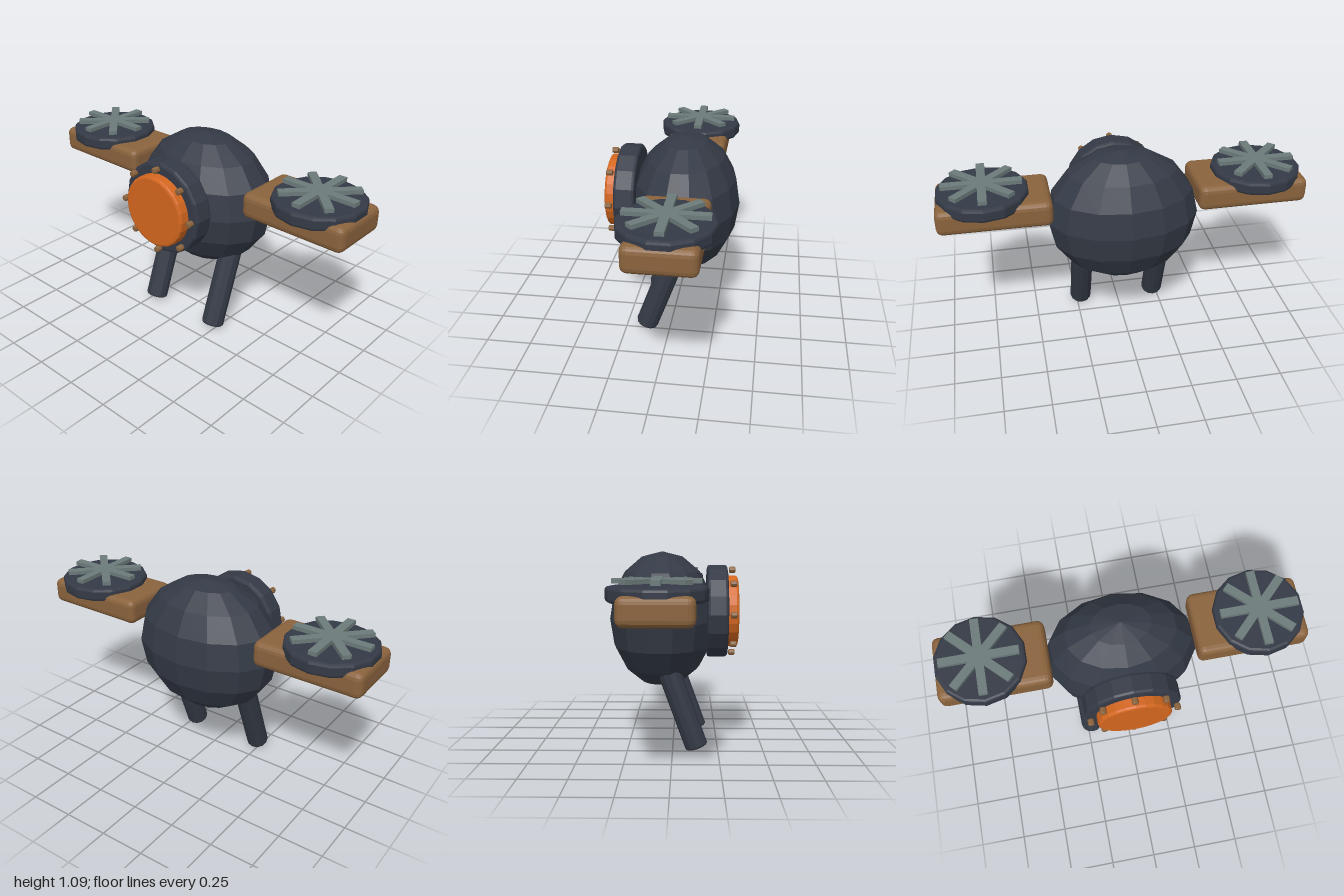
import * as THREE from 'three';
import { RoundedBoxGeometry } from 'three/addons/geometries/RoundedBoxGeometry.js';

export function createModel() {
  const model = new THREE.Group();
  const mat = (name, color) => {
    const m = new THREE.MeshStandardMaterial({ color, flatShading: true });
    m.name = name;
    return m;
  };
  const dark = mat('dark slate', 0x343a46);
  const orange = mat('orange', 0xd4671f);
  const brown = mat('bronze', 0x8a633d);
  const grey = mat('grey green', 0x6c7b7a);

  const add = (name, geometry, material, parent = model) => {
    const mesh = new THREE.Mesh(geometry, material);
    mesh.name = name;
    parent.add(mesh);
    return mesh;
  };

  // Solid disc along y with chamfered rims, centred on the origin
  const disc = (r, h, bevel, sides) => {
    const k = bevel * 0.3;
    const half = [[r - bevel, h / 2], [r - k, h / 2 - k], [r, h / 2 - bevel]];
    const points = [
      [0, -h / 2],
      ...half.map(([x, y]) => [x, -y]),
      ...half.reverse(),
      [0, h / 2],
    ].map(([x, y]) => new THREE.Vector2(x, y));
    return new THREE.LatheGeometry(points, sides);
  };

  const midZ = -0.062;

  // Faceted body, with a column of vertices facing forward
  const bodyGeometry = new THREE.SphereGeometry(1, 14, 8);
  bodyGeometry.rotateY(Math.PI / 2).scale(0.423, 0.383, 0.3);
  add('body', bodyGeometry, dark).position.set(0, 0.713, midZ);

  // Porthole: collar, lens and ring of bolts
  const porthole = new THREE.Group();
  porthole.name = 'porthole';
  porthole.position.y = 0.757;
  model.add(porthole);
  add('collar', disc(0.263, 0.115, 0.016, 16).rotateX(Math.PI / 2), dark, porthole).position.z = 0.248;
  add('lens', disc(0.202, 0.075, 0.014, 24).rotateX(Math.PI / 2), orange, porthole).position.z = 0.327;
  for (let i = 0; i < 8; i++) {
    const a = (i * Math.PI) / 4;
    add('bolt', disc(0.0175, 0.035, 0.005, 8).rotateX(Math.PI / 2), brown, porthole)
      .position.set(Math.cos(a) * 0.235, Math.sin(a) * 0.235, 0.334);
  }

  for (const side of [-1, 1]) {
    // Leg: pivots at the foot and leans back into the body
    const legGeometry = disc(0.063, 0.5, 0.012, 12).translate(0, 0.25, 0);
    const leg = add('leg', legGeometry, dark);
    leg.position.set(side * 0.225, 0.022, 0.135);
    leg.rotation.x = -THREE.MathUtils.degToRad(20);

    // Arm with its rotor on top
    const arm = new THREE.Group();
    arm.name = side > 0 ? 'leftArm' : 'rightArm';
    arm.position.set(side * 0.75, 0, midZ);
    model.add(arm);
    add('armPlate', new RoundedBoxGeometry(0.606, 0.142, 0.362, 2, 0.036), brown, arm)
      .position.set(side * -0.053, 0.841, 0);
    add('rotorBase', disc(0.246, 0.075, 0.016, 14), dark, arm).position.y = 0.907;
    for (let i = 0; i < 4; i++) {
      const blade = add('rotorBlade', new THREE.BoxGeometry(0.424, 0.022, 0.046), grey, arm);
      blade.position.y = 0.969;
      blade.rotation.y = (i * Math.PI) / 4;
    }
  }
  return model;
}
